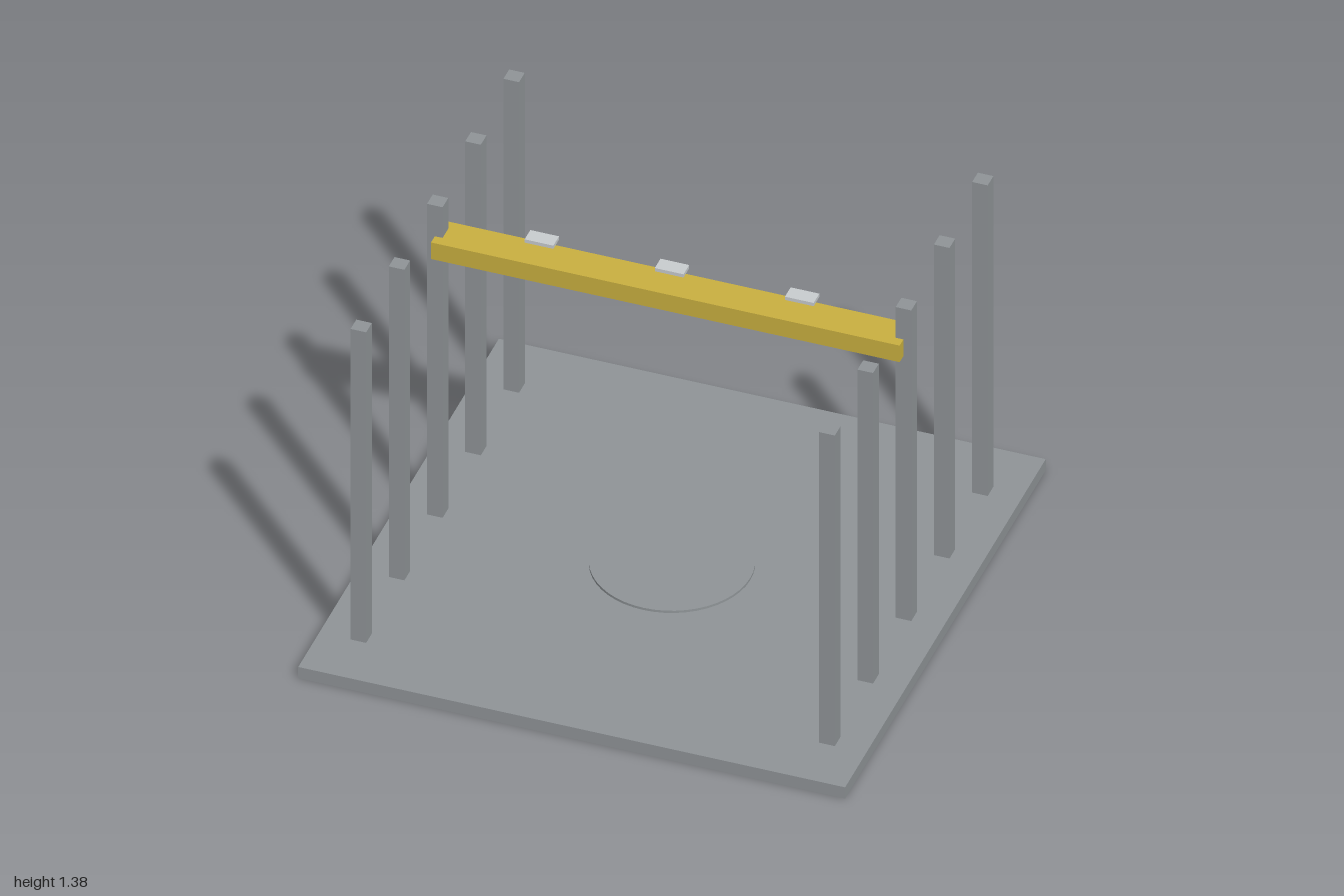
import * as THREE from 'three';

export function createModel() {
  const model = new THREE.Group();
  const mat = (name, color) => {
    const m = new THREE.MeshStandardMaterial({ color });
    m.name = name;
    return m;
  };
  const grey = mat('steel grey', 0x8f9497);
  const yellow = mat('crane yellow', 0xc9b040);
  const pale = mat('pale grey', 0xc8cccf);

  const add = (name, geometry, material, x, y, z) => {
    const mesh = new THREE.Mesh(geometry, material);
    mesh.name = name;
    mesh.position.set(x, y, z);
    model.add(mesh);
  };

  // Floor slab with a low round platform
  const floor = 0.048;
  add('floorSlab', new THREE.BoxGeometry(2, floor, 2), grey, 0, floor / 2, 0);
  add('roundPlatform', new THREE.CylinderGeometry(0.286, 0.286, 0.0095, 48), grey, 0, floor + 0.0047, 0);

  // Two rows of five columns
  const columnHeight = 1.333;
  const column = new THREE.BoxGeometry(0.057, columnHeight, 0.057);
  for (const side of [-1, 1]) {
    for (let i = -2; i <= 2; i++) {
      add('column', column, grey, side * 0.857, floor + columnHeight / 2, i * 0.381);
    }
  }

  // Cross beam joining the middle columns
  add('crossBeam', new THREE.BoxGeometry(1.714, 0.071, 0.133), yellow, 0, 1.214, 0);

  // Lamp panels hovering above the beam
  const lamp = new THREE.BoxGeometry(0.105, 0.014, 0.057);
  for (let i = -1; i <= 1; i++) add('lampPanel', lamp, pale, i * 0.476, 1.314, 0);

  return model;
}
